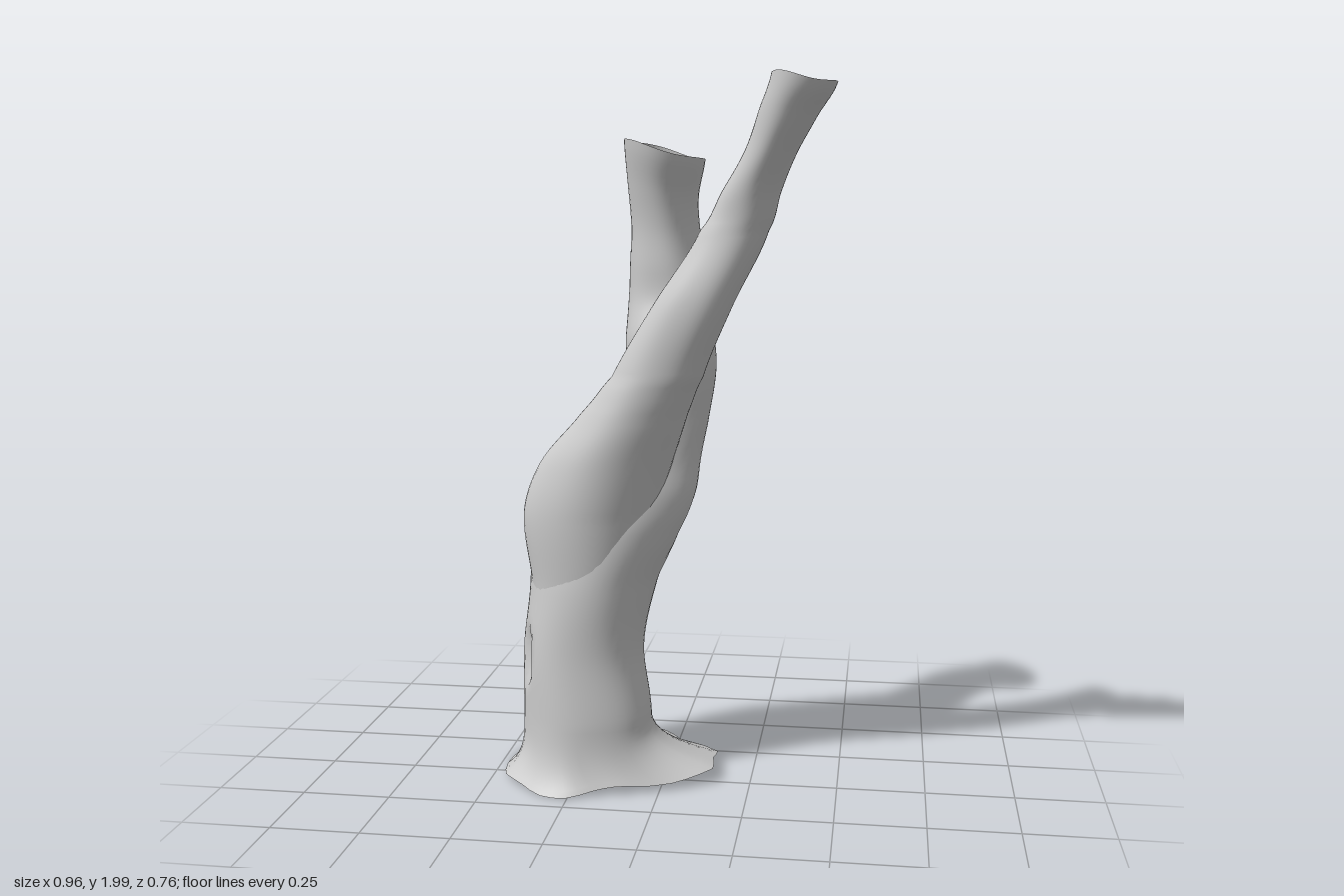
import * as THREE from 'three';

const SEG = 48;
const bark = new THREE.MeshStandardMaterial({ color: 0xcccccc, side: THREE.DoubleSide });
const angles = Array.from({ length: SEG }, (_, i) => (i / SEG) * Math.PI * 2);

// Key sections of each limb: [y, cx, cz, rx, rz]
const trunk = [
  [0.2, -0.23, -0.035, 0.187, 0.183],
  [0.4, -0.245, -0.035, 0.175, 0.173],
  [0.6, -0.215, -0.037, 0.185, 0.173],
  [0.75, -0.18, -0.043, 0.222, 0.167],
  [0.85, -0.15, -0.055, 0.235, 0.155],
  [0.95, -0.115, -0.068, 0.215, 0.137],
  [1.05, -0.06, -0.078, 0.18, 0.127],
  [1.2, 0.005, -0.083, 0.135, 0.122],
  [1.3, 0.006, -0.092, 0.126, 0.12],
  [1.4, 0, -0.125, 0.118, 0.117],
  [1.5, -0.01, -0.143, 0.106, 0.136],
  [1.6, -0.015, -0.14, 0.096, 0.137],
  [1.7, -0.018, -0.115, 0.098, 0.134],
  [1.815, -0.01, -0.085, 0.112, 0.146],
];
const front = [
  [0.35, -0.25, -0.01, 0.12, 0.11],
  [0.6, -0.23, 0.01, 0.155, 0.119],
  [0.8, -0.212, 0.025, 0.188, 0.13],
  [0.95, -0.155, 0.04, 0.186, 0.135],
  [1.1, -0.065, 0.075, 0.147, 0.125],
  [1.2, 0, 0.11, 0.125, 0.109],
  [1.4, 0.1, 0.15, 0.107, 0.092],
  [1.6, 0.21, 0.15, 0.09, 0.085],
  [1.7, 0.255, 0.167, 0.077, 0.088],
  [1.8, 0.307, 0.2, 0.067, 0.096],
  [1.9, 0.355, 0.248, 0.075, 0.095],
  [1.98, 0.396, 0.292, 0.083, 0.088],
];
const stub = [
  [1.4, 0.12, 0.15, 0.06, 0.07],
  [1.6, 0.21, 0.133, 0.075, 0.07],
  [1.7, 0.253, 0.12, 0.067, 0.074],
  [1.76, 0.273, 0.1, 0.056, 0.067],
  [1.81, 0.288, 0.075, 0.054, 0.053],
];

// Hollows pressed into the bark: centre, radii, push
const hollows = [
  { c: [-0.315, 0.88, -0.062], r: [0.14, 0.11, 0.06], push: [0.11, -0.07, 0.0] },
  { c: [-0.41, 0.38, 0.05], r: [0.08, 0.08, 0.035], push: [0.025, 0, -0.005] },
  { c: [0.03, 0.76, -0.11], r: [0.1, 0.16, 0.06], push: [-0.025, 0, 0] },
];

function pressHollows(p) {
  const q = [...p];
  for (const { c, r, push } of hollows) {
    const d2 = c.reduce((s, v, k) => s + ((p[k] - v) / r[k]) ** 2, 0);
    const g = Math.exp(-d2 * d2);
    push.forEach((v, k) => { q[k] += v * g; });
  }
  return q;
}

// Smoothly interpolated section at height y
function sectionAt(keys, y) {
  let i = 0;
  while (i < keys.length - 2 && y > keys[i + 1][0]) i++;
  const u = (y - keys[i][0]) / (keys[i + 1][0] - keys[i][0]);
  const at = (k) => keys[THREE.MathUtils.clamp(k, 0, keys.length - 1)];
  return keys[0].map((_, c) => {
    if (c === 0) return y;
    const [a, b, d, e] = [at(i - 1)[c], at(i)[c], at(i + 1)[c], at(i + 2)[c]];
    return 0.5 * (2 * b + (d - a) * u + (2 * a - 5 * b + 4 * d - e) * u * u + (3 * b - a - 3 * d + e) * u ** 3);
  });
}

// Elliptical section with gentle, slowly twisting bark bumps
function sectionPoint([y, cx, cz, rx, rz], a) {
  const w = 1 + 0.02 * Math.sin(3 * a + 4 * y) + 0.014 * Math.sin(5 * a - 7 * y);
  return [cx + rx * w * Math.cos(a), y, cz + rz * w * Math.sin(a)];
}

// True where a point lies well inside another limb
function isInside([x, y, z], keys) {
  if (y < keys[0][0] || y > keys[keys.length - 1][0]) return false;
  const [, cx, cz, rx, rz] = sectionAt(keys, y);
  return Math.hypot((x - cx) / rx, (z - cz) / rz) < 0.94;
}

// Closed rings joined into an open tube, leaving out the walls buried in other limbs
function skin(name, rings) {
  const points = rings.flat();
  const index = [];
  for (let j = 0; j < rings.length - 1; j++) {
    for (let i = 0; i < SEG; i++) {
      const n = (i + 1) % SEG;
      const a = j * SEG + i, b = j * SEG + n, c = a + SEG, d = b + SEG;
      if ([a, b, c, d].every((k) => points[k].buried)) continue;
      index.push(a, c, b, b, c, d);
    }
  }
  const geo = new THREE.BufferGeometry();
  geo.setAttribute('position', new THREE.Float32BufferAttribute(points.flatMap((p) => p.pos), 3));
  geo.setIndex(index);
  geo.computeVertexNormals();
  const mesh = new THREE.Mesh(geo, bark);
  mesh.name = name;
  return mesh;
}

// Limb from key sections; its broken end slopes along x and is a little ragged
function limbRings(keys, steps, slope, ragged, others) {
  const rings = [];
  const y0 = keys[0][0], y1 = keys[keys.length - 1][0];
  for (let j = 0; j <= steps; j++) {
    const s = sectionAt(keys, THREE.MathUtils.lerp(y0, y1, j / steps));
    const end = Math.max(0, (j / steps - 0.85) / 0.15);
    rings.push(angles.map((a) => {
      const p = sectionPoint(s, a);
      p[1] += end * (slope * (p[0] - s[1]) + ragged * Math.sin(3 * a + 1));
      return { pos: pressHollows(p), buried: others.some((o) => isInside(p, o)) };
    }));
  }
  return rings;
}

// Root skirt: outline radius every 15 degrees, spreading from the trunk foot
const rootRadius = [0.315, 0.335, 0.29, 0.25, 0.235, 0.235, 0.24, 0.285, 0.3, 0.3, 0.315, 0.3,
  0.3, 0.3, 0.31, 0.33, 0.32, 0.31, 0.285, 0.3, 0.28, 0.27, 0.31, 0.33];

function rootRings(foot) {
  const rings = [];
  const steps = 12;
  for (let j = 0; j < steps; j++) {
    const s = 1 - j / steps;
    rings.push(angles.map((a, i) => {
      const k = i / 2;
      const r = (rootRadius[Math.floor(k)] + rootRadius[Math.ceil(k) % 24]) / 2;
      const top = sectionPoint(foot, a);
      const rimY = 0.02 + 0.025 * Math.max(0, Math.cos(a)) + 0.01 * Math.sin(5 * a + 1);
      const b = s ** (3 - 0.6 * Math.cos(a));
      return { pos: [
        THREE.MathUtils.lerp(top[0], -0.18 + r * Math.cos(a), b),
        THREE.MathUtils.lerp(top[1], rimY, s),
        THREE.MathUtils.lerp(top[2], -0.08 + r * Math.sin(a), b),
      ], buried: false };
    }));
  }
  return rings;
}

export function createModel() {
  const tree = new THREE.Group();
  tree.name = 'treeTrunk';
  tree.add(
    // Trunk running up into the rear limb
    skin('trunkAndRearLimb', [...rootRings(trunk[0]), ...limbRings(trunk, 90, -0.26, 0.004, [front])]),
    // Front limb rising out of the trunk and leaning to the left
    skin('frontLimb', limbRings(front, 90, -0.18, 0.004, [trunk, stub])),
    // Broken twig stub spreading from the back of the front limb
    skin('twigStub', limbRings(stub, 24, -0.15, 0.006, [front])),
  );
  return tree;
}
